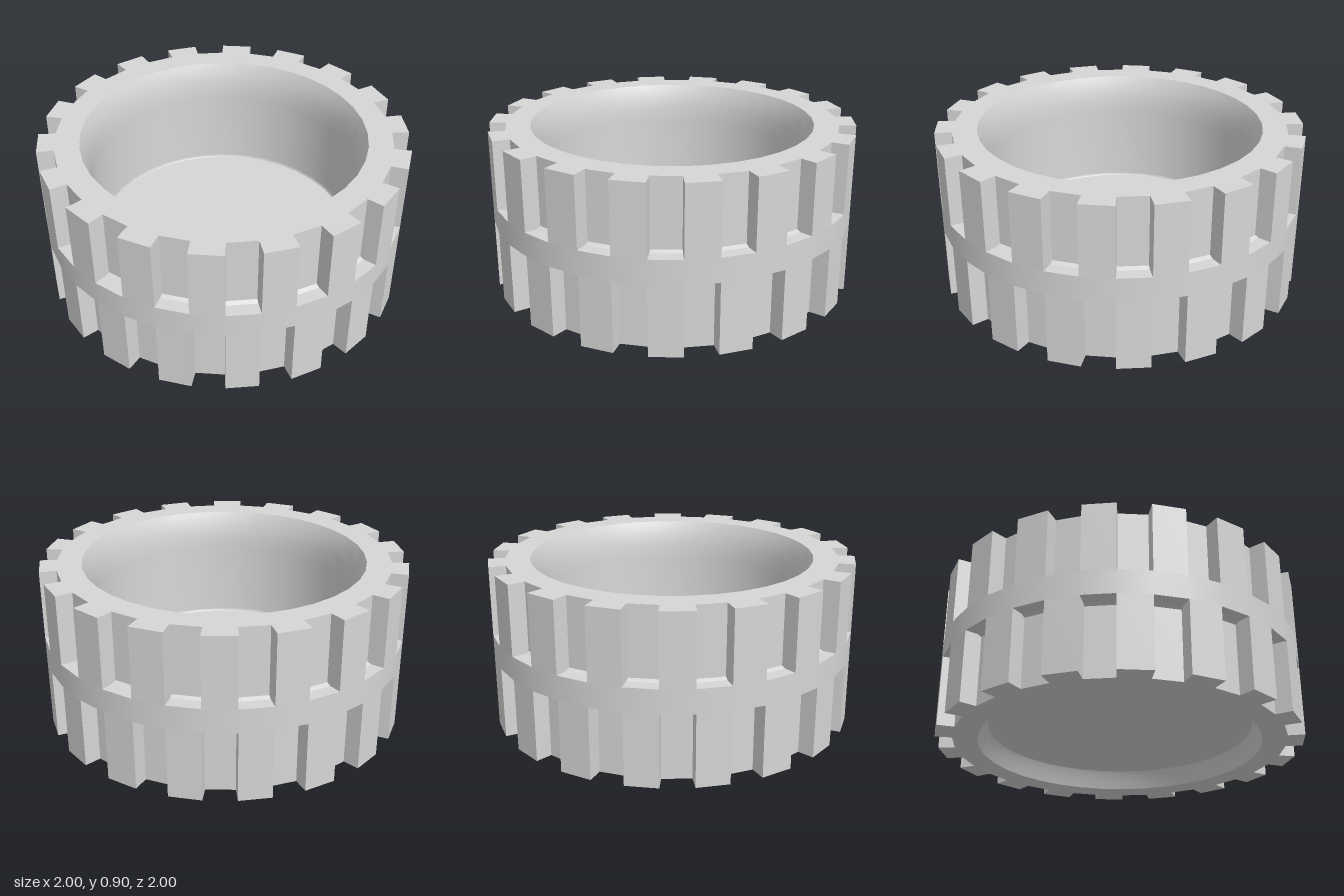
import * as THREE from 'three';

const SIDES = 36, STEP = (Math.PI * 2) / SIDES;
const HEIGHT = 0.9, LOW = 0.39, HIGH = 0.52, BORE = 0.775, NOTCH_R = 0.905;

export function createModel() {
  const group = new THREE.Group();
  group.name = 'treadedWheel';
  const grey = new THREE.MeshStandardMaterial({ color: 0xd6d6d6 });
  grey.name = 'lightGrey';

  const add = (name, geometry, y = 0) => {
    const mesh = new THREE.Mesh(geometry, grey);
    mesh.name = name;
    mesh.position.y = y;
    group.add(mesh);
  };

  // Ring of blocks: every second facet is cut back to a flat notch
  const treadRing = (parity, depth) => {
    const points = [];
    const at = (r, a, shift = 0) => points.push(new THREE.Vector2(
      r * Math.sin(a) + shift * Math.cos(a), -(r * Math.cos(a) - shift * Math.sin(a))));
    for (let k = 0; k < SIDES; k++) {
      at(1, k * STEP);
      if (k % 2 === parity) {
        const mid = (k + 0.5) * STEP;
        at(NOTCH_R, mid, -0.077);
        at(NOTCH_R, mid, 0.077);
      }
    }
    const shape = new THREE.Shape(points);
    const hole = [];
    for (let k = 0; k < SIDES; k++) {
      hole.push(new THREE.Vector2(BORE * Math.sin(k * STEP), -BORE * Math.cos(k * STEP)));
    }
    shape.holes.push(new THREE.Path(hole));
    return new THREE.ExtrudeGeometry(shape, { depth, bevelEnabled: false }).rotateX(-Math.PI / 2);
  };
  add('lowerTread', treadRing(0, LOW));
  add('upperTread', treadRing(1, HEIGHT - HIGH), HIGH);

  // Smooth centre band
  add('centreBand', new THREE.CylinderGeometry(1, 1, HIGH - LOW, SIDES, 1, true), (HIGH + LOW) / 2);

  const lathe = (pts) => new THREE.LatheGeometry(pts.map(([r, y]) => new THREE.Vector2(r, y)), SIDES);

  // Flat notch sills with a small chamfer into the notch wall
  add('upperSill', lathe([[1, 0], [0.93, 0]]), HIGH);
  add('upperSillChamfer', lathe([[0.93, 0], [0.9, 0.015]]), HIGH);
  add('lowerSill', lathe([[0.93, 0], [1, 0]]), LOW);
  add('lowerSillChamfer', lathe([[0.9, -0.015], [0.93, 0]]), LOW);

  // Bore lining with rounded rims, deep above the web and shallow below it
  add('upperBore', lathe([[BORE, HEIGHT], [0.762, 0.87], [0.745, 0.82], [0.735, 0.76], [0.73, 0.68], [0.73, 0.26], [0.72, 0.245]]));
  add('webTop', lathe([[0.72, 0.245], [0, 0.245]]));
  add('webUnderside', lathe([[0, 0.1], [0.725, 0.1]]));
  add('lowerBore', lathe([[0.725, 0.1], [0.738, 0.08], [0.758, 0.04], [BORE, 0]]));

  return group;
}
